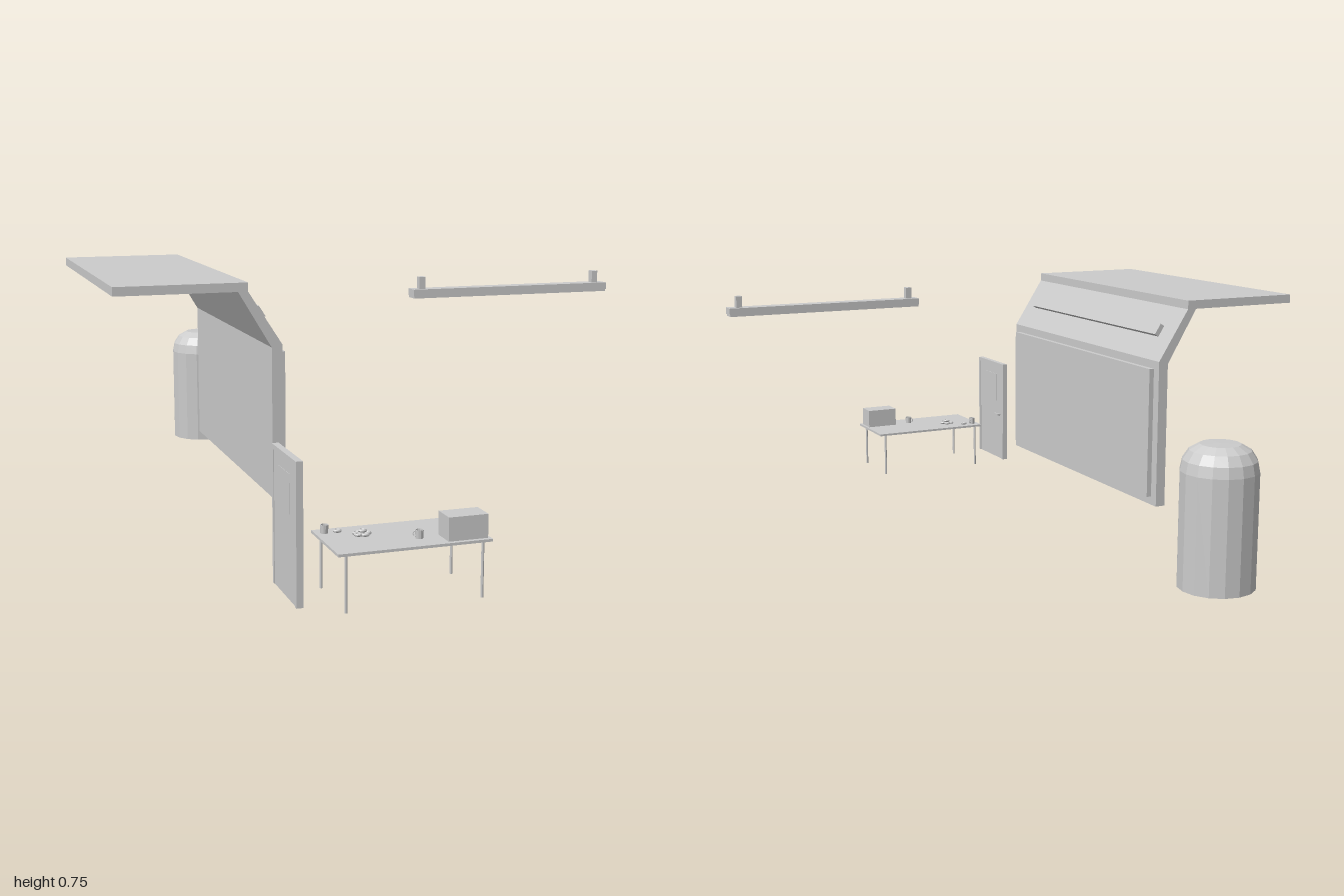
import * as THREE from 'three';

const mat = new THREE.MeshStandardMaterial({ color: 0xcccccc, flatShading: true });

function add(parent, name, geometry, x = 0, y = 0, z = 0) {
  const m = new THREE.Mesh(geometry, mat);
  m.name = name;
  m.position.set(x, y, z);
  parent.add(m);
  return m;
}

// Box given by its limits on each axis
function box(parent, name, [x0, x1], [y0, y1], [z0, z1]) {
  return add(parent, name, new THREE.BoxGeometry(x1 - x0, y1 - y0, z1 - z0),
    (x0 + x1) / 2, (y0 + y1) / 2, (z0 + z1) / 2);
}

function group(parent, name) {
  const g = new THREE.Group();
  g.name = name;
  parent.add(g);
  return g;
}

function buildWall(root) {
  const g = group(root, 'wallAndCeiling');
  // Bent section: upright, slanted soffit and flat ceiling
  const profile = [[-0.325, 0.147], [-0.295, 0.147], [-0.295, 0.58], [-0.39, 0.728],
    [-0.39, 0.753], [-0.757, 0.753], [-0.757, 0.728], [-0.418, 0.728], [-0.325, 0.572]];
  const shape = new THREE.Shape(profile.map(([x, y]) => new THREE.Vector2(x, y)));
  const shell = new THREE.ExtrudeGeometry(shape, { depth: 0.911, bevelEnabled: false });
  add(g, 'bentShell', shell, 0, 0, -0.475);
  box(g, 'wallPanel', [-0.3, -0.28], [0.172, 0.556], [-0.448, 0.412]);
  // Long strip lying on the slanted soffit
  const strip = add(g, 'soffitStrip', new THREE.BoxGeometry(0.024, 0.036, 0.775), -0.343, 0.659, -0.018);
  strip.rotation.z = Math.atan2(0.095, 0.148);
}

function buildLamp(root) {
  const g = group(root, 'hangingLamp');
  box(g, 'lampBar', [0.127, 0.753], [0.685, 0.705], [0.305, 0.349]);
  box(g, 'lampDiffuser', [0.129, 0.751], [0.679, 0.685], [0.307, 0.347]);
  for (const x of [0.158, 0.719]) {
    box(g, 'lampMount', [x - 0.009, x + 0.009], [0.705, 0.74], [0.317, 0.337]);
  }
}

function buildTank(root) {
  const profile = [[0, 0.042], [0.106, 0.042], [0.106, 0.36], [0.1, 0.39],
    [0.083, 0.416], [0.055, 0.432], [0, 0.433]];
  const lathe = new THREE.LatheGeometry(profile.map(([r, y]) => new THREE.Vector2(r, y)), 16);
  add(root, 'tank', lathe, -0.218, 0, -0.894);
}

function buildDoor(root) {
  const g = group(root, 'door');
  box(g, 'doorLeaf', [-0.416, -0.403], [0.015, 0.37], [0.765, 0.953]);
  // Frame around the leaf
  for (const [a, b] of [[0.755, 0.767], [0.951, 0.963]]) {
    box(g, 'doorJamb', [-0.418, -0.4], [0.015, 0.381], [a, b]);
  }
  box(g, 'doorHead', [-0.418, -0.4], [0.368, 0.381], [0.767, 0.951]);
  box(g, 'doorInset', [-0.417, -0.401], [0.235, 0.337], [0.81, 0.905]);
  // Lever handle on both axes
  const spindle = add(g, 'handleSpindle', new THREE.CylinderGeometry(0.004, 0.004, 0.012, 8), -0.398, 0.185, 0.785);
  spindle.rotation.z = Math.PI / 2;
  box(g, 'handleLever', [-0.395, -0.39], [0.182, 0.188], [0.781, 0.811]);
}

function buildMug(parent, x, z, turn) {
  const g = group(parent, 'mug');
  g.position.set(x, 0.153, z);
  g.rotation.y = turn;
  const wall = [[0, 0], [0.01, 0], [0.011, 0.022], [0.009, 0.022], [0.008, 0.003], [0, 0.003]];
  add(g, 'mugBody', new THREE.LatheGeometry(wall.map(([r, y]) => new THREE.Vector2(r, y)), 12));
  const handle = add(g, 'mugHandle', new THREE.TorusGeometry(0.006, 0.0015, 5, 8, Math.PI), 0.01, 0.011, 0);
  handle.rotation.z = -Math.PI / 2;
}

function buildTable(root) {
  const g = group(root, 'table');
  box(g, 'tableTop', [-0.324, 0.084], [0.146, 0.153], [0.785, 1]);
  for (const x of [-0.301, 0.061]) {
    for (const z of [0.795, 0.99]) {
      add(g, 'tableLeg', new THREE.CylinderGeometry(0.004, 0.004, 0.147, 8), x, 0.0735, z);
    }
  }
  box(g, 'tableBox', [-0.031, 0.076], [0.153, 0.215], [0.922, 0.988]);
  buildMug(g, -0.3, 0.818, 0.6);
  buildMug(g, -0.088, 0.935, 2.6);
  // Small rings: one alone and a loose pile
  const ring = new THREE.TorusGeometry(0.008, 0.004, 6, 12).rotateX(Math.PI / 2);
  add(g, 'ring', ring, -0.266, 0.157, 0.82);
  for (let i = 0; i < 5; i++) {
    const a = i * Math.PI * 0.4;
    add(g, 'pileRing', ring, -0.215 + 0.014 * Math.cos(a), 0.157, 0.862 + 0.014 * Math.sin(a));
  }
  add(g, 'pileTopRing', ring, -0.213, 0.164, 0.86);
}

export function createModel() {
  const root = new THREE.Group();
  root.name = 'roomPieces';
  buildWall(root);
  buildLamp(root);
  buildTank(root);
  buildDoor(root);
  buildTable(root);
  return root;
}
